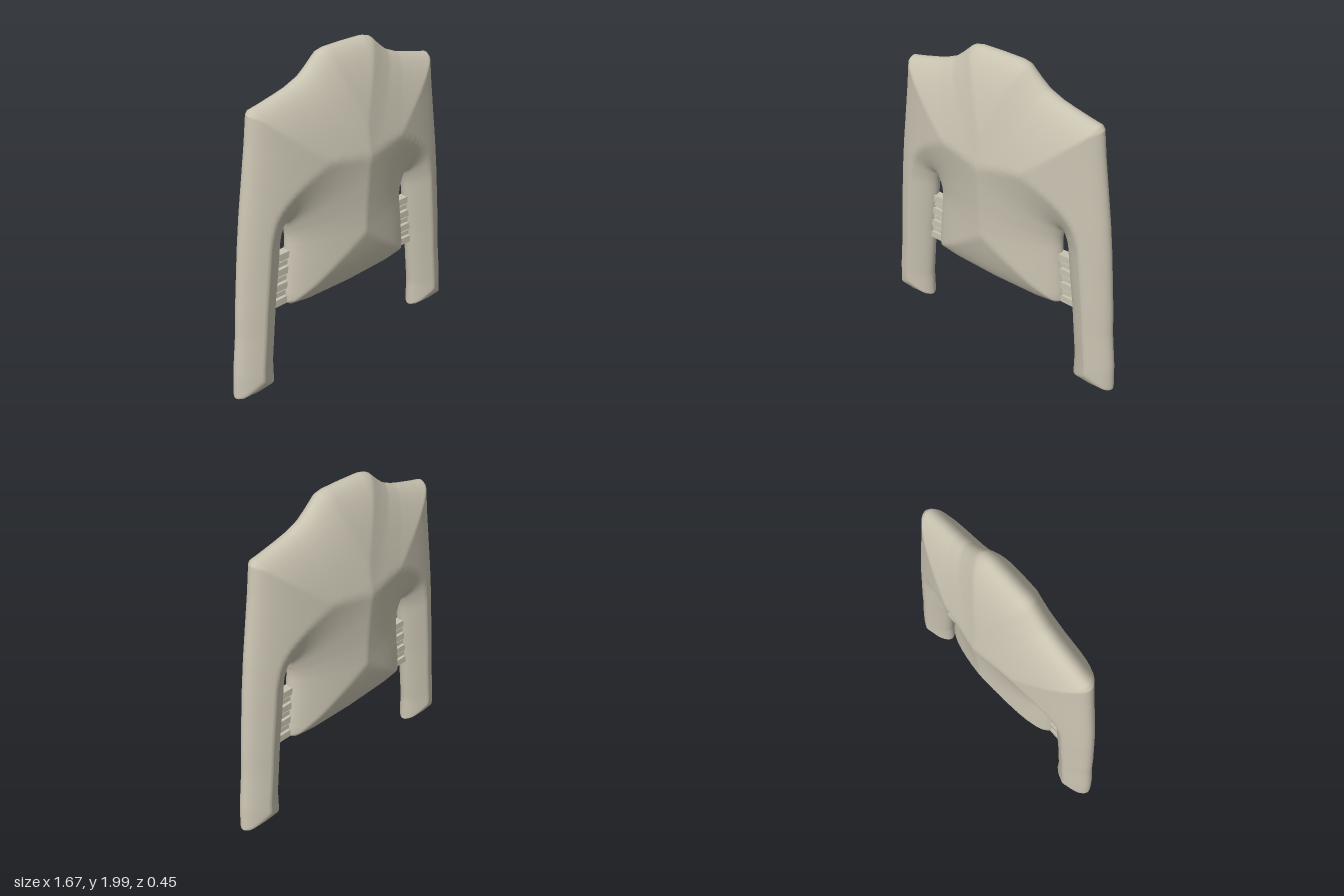
import * as THREE from 'three';
import { mergeVertices } from 'three/addons/utils/BufferGeometryUtils.js';

// Half outline of the garment, as [x, y] runs
const hem = [[0, 0.485], [0.3, 0.495], [0.43, 0.515], [0.46, 0.54]];
const torsoSide = [[0.46, 0.54], [0.46, 0.6], [0.445, 0.75], [0.43, 0.88], [0.425, 0.95], [0.43, 1.0], [0.45, 1.06]];
const sleeveInner = [[0.565, 0.03], [0.565, 0.2], [0.545, 0.4], [0.525, 0.6], [0.505, 0.75], [0.487, 0.9], [0.475, 1.0], [0.45, 1.06]];
const cuff = [[0.565, 0.03], [0.6, 0.015], [0.7, 0.008], [0.81, 0.016], [0.835, 0.03]];
const sleeveOuter = [[0.835, 0.03], [0.825, 0.2], [0.795, 0.45], [0.785, 0.6], [0.765, 0.8], [0.745, 1.0], [0.72, 1.2], [0.69, 1.4], [0.66, 1.6], [0.64, 1.76]];
const shoulder = [[0, 2], [0.13, 1.998], [0.18, 1.985], [0.25, 1.92], [0.3, 1.88], [0.38, 1.845], [0.45, 1.825], [0.55, 1.8], [0.62, 1.785], [0.64, 1.76]];
const ARMPIT = 1.06;

// Linear lookup along a run: key 0 looks up y by x, key 1 looks up x by y
function lookup(run, value, key) {
  const other = 1 - key;
  if (value <= run[0][key]) return run[0][other];
  for (let i = 1; i < run.length; i++) {
    const a = run[i - 1], b = run[i];
    if (value <= b[key]) {
      return a[other] + (b[other] - a[other]) * (value - a[key]) / (b[key] - a[key]);
    }
  }
  return run[run.length - 1][other];
}

// Distance from a point to the outline
function edgeDistance(x, y) {
  let best = Infinity;
  for (const run of [hem, torsoSide, sleeveInner, cuff, sleeveOuter, shoulder]) {
    for (let i = 1; i < run.length; i++) {
      const [ax, ay] = run[i - 1], [bx, by] = run[i];
      const dx = bx - ax, dy = by - ay;
      const t = THREE.MathUtils.clamp(((x - ax) * dx + (y - ay) * dy) / (dx * dx + dy * dy), 0, 1);
      best = Math.min(best, Math.hypot(x - ax - t * dx, y - ay - t * dy));
    }
  }
  return best;
}

// Padding swells with the square root of the distance from the edge
function depth(x, y) {
  const d = edgeDistance(x, y);
  return d < 1e-5 ? 0 : 0.302 * Math.sqrt(d);
}

// Rows run from the lower edge to armpit height, then on to the upper edge
function rowHeight(v, low, high) {
  return v <= 0.5
    ? THREE.MathUtils.lerp(low, ARMPIT, 1 - Math.cos(Math.PI * v))
    : THREE.MathUtils.lerp(ARMPIT, high, Math.sin(Math.PI * (v - 0.5)));
}

function torsoPoint(s, v) {
  const u = Math.sin(Math.PI * s / 2);
  const y = rowHeight(v, lookup(hem, u * 0.46, 0), lookup(shoulder, u * 0.45, 0));
  return [u * lookup(torsoSide, y, 1), y];
}

function sleevePoint(s, v) {
  const u = (1 - Math.cos(Math.PI * s)) / 2;
  const low = lookup(cuff, 0.565 + 0.27 * u, 0);
  const high = lookup(shoulder, 0.45 + 0.19 * u, 0);
  const y = rowHeight(v, low, high);
  return [THREE.MathUtils.lerp(lookup(sleeveInner, y, 1), lookup(sleeveOuter, y, 1), u), y];
}

// Adds one padded panel: front or back, left or right
function addPanel(positions, indices, point, columns, rows, side, face) {
  const base = positions.length / 3;
  for (let j = 0; j <= rows; j++) {
    for (let i = 0; i <= columns; i++) {
      const [x, y] = point(i / columns, j / rows);
      positions.push(x * side, y, face * depth(x, y));
    }
  }
  for (let j = 0; j < rows; j++) {
    for (let i = 0; i < columns; i++) {
      const a = base + j * (columns + 1) + i, b = a + 1;
      const d = a + columns + 1, c = d + 1;
      if (side * face > 0) indices.push(a, b, c, a, c, d);
      else indices.push(a, c, b, a, d, c);
    }
  }
}

export function createModel() {
  const model = new THREE.Group();
  model.name = 'longSleevedTop';
  const cloth = new THREE.MeshStandardMaterial({ color: 0xc8c2b0 });
  cloth.name = 'beige cloth';

  // Torso and sleeves, welded into one padded garment
  const positions = [], indices = [];
  for (const side of [1, -1]) {
    for (const face of [1, -1]) {
      addPanel(positions, indices, torsoPoint, 40, 80, side, face);
      addPanel(positions, indices, sleevePoint, 28, 80, side, face);
    }
  }
  let geometry = new THREE.BufferGeometry();
  geometry.setAttribute('position', new THREE.Float32BufferAttribute(positions, 3));
  geometry.setIndex(indices);
  geometry = mergeVertices(geometry, 1e-4);
  geometry.computeVertexNormals();
  const garment = new THREE.Mesh(geometry, cloth);
  garment.name = 'torsoAndSleeves';
  model.add(garment);

  // Ragged little tabs joining each sleeve to the torso
  for (const side of [1, -1]) {
    const tabs = new THREE.Group();
    tabs.name = side > 0 ? 'leftUnderarmTabs' : 'rightUnderarmTabs';
    for (let i = 0; i < 7; i++) {
      const y = 0.565 + i * 0.049;
      const inner = lookup(torsoSide, y, 1) - 0.01;
      const outer = lookup(sleeveInner, y, 1) + 0.01;
      const tab = new THREE.Mesh(
        new THREE.BoxGeometry(outer - inner, i % 2 ? 0.03 : 0.045, i % 2 ? 0.035 : 0.05), cloth);
      tab.name = 'underarmTab';
      tab.position.set(side * (inner + outer) / 2, y, 0);
      tabs.add(tab);
    }
    model.add(tabs);
  }
  return model;
}
